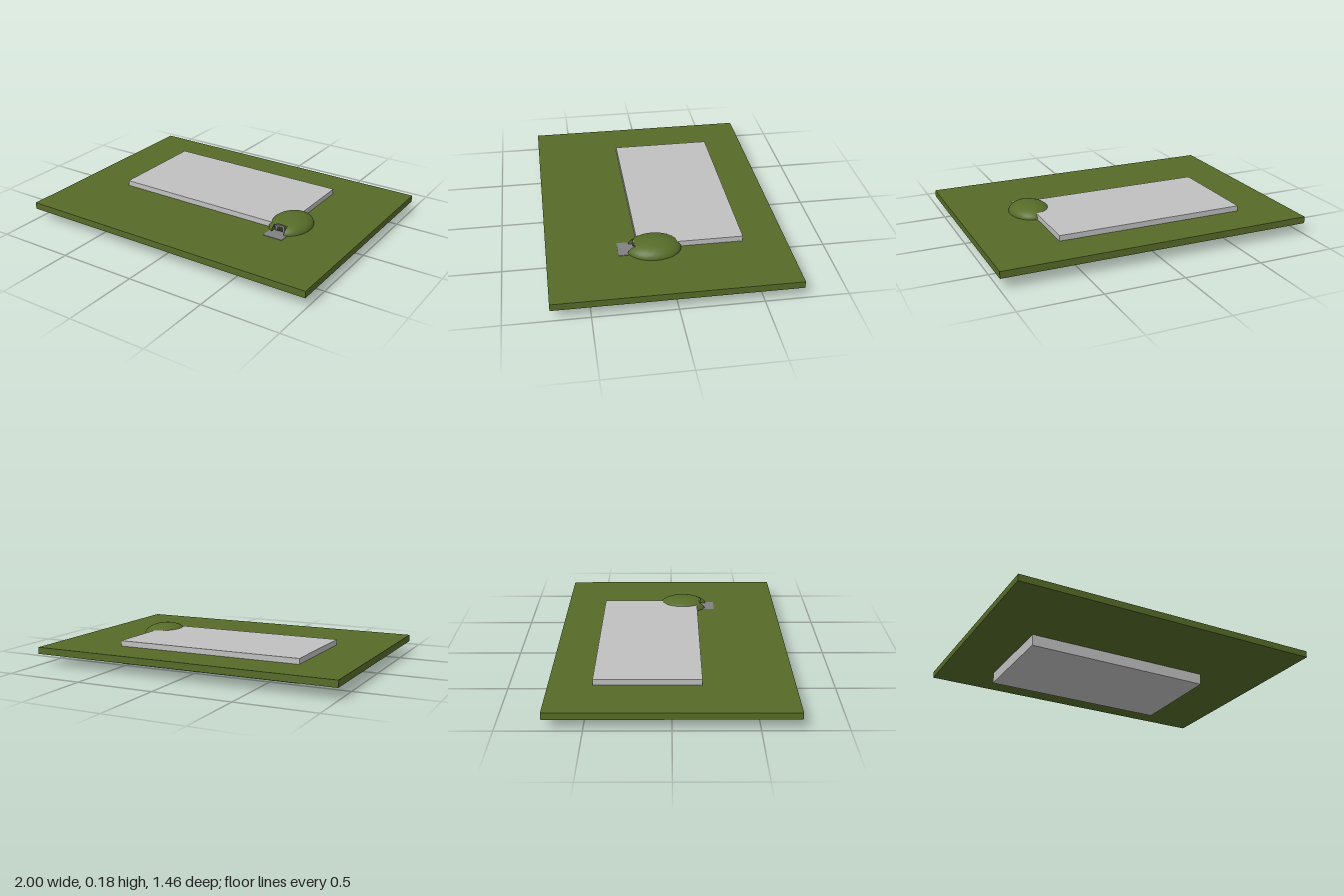
import * as THREE from 'three';
import { toCreasedNormals } from 'three/addons/utils/BufferGeometryUtils.js';

const mat = (name, color, extra = {}) => {
  const m = new THREE.MeshStandardMaterial({ color, ...extra });
  m.name = name;
  return m;
};

// Half-ellipsoid built from columns across x, with a flat recess cut into its front.
function moundGeometry(rx, ry, rz, cutLeft, cutRight, cutZ) {
  const columns = [];
  const steps = 40, rows = 24;
  for (let i = 0; i <= steps; i++) {
    const x = -rx * 0.9999 * Math.cos((i / steps) * Math.PI);
    columns.push([x, x > cutLeft && x < cutRight]);
  }
  // doubled columns give the recess its side walls
  for (const x of [cutLeft, cutRight]) columns.push([x, false], [x, true]);
  columns.sort((a, b) => a[0] - b[0] || (a[0] === cutLeft ? a[1] - b[1] : b[1] - a[1]));

  const positions = [], index = [];
  columns.forEach(([x, cut], i) => {
    const s = Math.sqrt(1 - (x / rx) ** 2);
    for (let j = 0; j <= rows; j++) {
      const t = (j / rows) * Math.PI;
      const z = rz * s * Math.cos(t);
      positions.push(x, ry * s * Math.sin(t), cut ? Math.min(z, cutZ) : z);
      if (i < columns.length - 1 && j < rows) {
        const a = i * (rows + 1) + j, b = a + rows + 1;
        index.push(a, b, a + 1, b, b + 1, a + 1);
      }
    }
  });
  const g = new THREE.BufferGeometry();
  g.setAttribute('position', new THREE.Float32BufferAttribute(positions, 3));
  g.setIndex(index);
  return toCreasedNormals(g, Math.PI / 5);
}

export function createModel() {
  const model = new THREE.Group();
  const grass = mat('grass green', 0x566b28);
  const mound = mat('mound green', 0x566b28, { side: THREE.DoubleSide });
  const concrete = mat('light concrete', 0xc0c0c0);
  const stone = mat('grey stone', 0x808080);
  const dark = mat('dark opening', 0x30332a);

  const add = (name, geometry, material) => {
    const m = new THREE.Mesh(geometry, material);
    m.name = name;
    model.add(m);
    return m;
  };
  // box given by its limits
  const box = (name, [x0, x1], [y0, y1], [z0, z1], material) => {
    const m = add(name, new THREE.BoxGeometry(x1 - x0, y1 - y0, z1 - z0), material);
    m.position.set((x0 + x1) / 2, (y0 + y1) / 2, (z0 + z1) / 2);
  };

  // Ground slab and the buried chamber
  box('groundSlab', [-1, 1], [0.072, 0.115], [-0.73, 0.73], grass);
  box('chamber', [-0.67, 0.55], [0, 0.15], [-0.465, 0.18], concrete);

  // Earth mound over the entrance
  add('mound', moundGeometry(0.13, 0.068, 0.167, -0.055, 0.035, 0.117), mound)
    .position.set(0.545, 0.115, 0.083);

  // Sloping passage: side profile in (z, y), extruded across x
  const profile = [[0.2, 0.115], [0.14, 0.115], [-0.22, 0.02], [-0.277, 0.02],
    [-0.277, 0.06], [-0.22, 0.062], [0.12, 0.15], [0.2, 0.15]];
  const passage = new THREE.ExtrudeGeometry(
    new THREE.Shape(profile.map(([z, y]) => new THREE.Vector2(-z, y))),
    { depth: 0.04, bevelEnabled: false });
  passage.rotateY(Math.PI / 2);
  add('passage', passage, stone).position.x = 0.515;

  // Doorstep, dark doorway and its surround
  box('doorstep', [0.47, 0.6], [0.113, 0.118], [0.198, 0.3], stone);
  box('doorway', [0.515, 0.555], [0.115, 0.15], [0.198, 0.203], dark);
  for (const x of [0.504, 0.555]) box('doorPost', [x, x + 0.011], [0.115, 0.15], [0.198, 0.207], stone);
  box('lintel', [0.504, 0.566], [0.15, 0.159], [0.198, 0.207], stone);

  return model;
}
